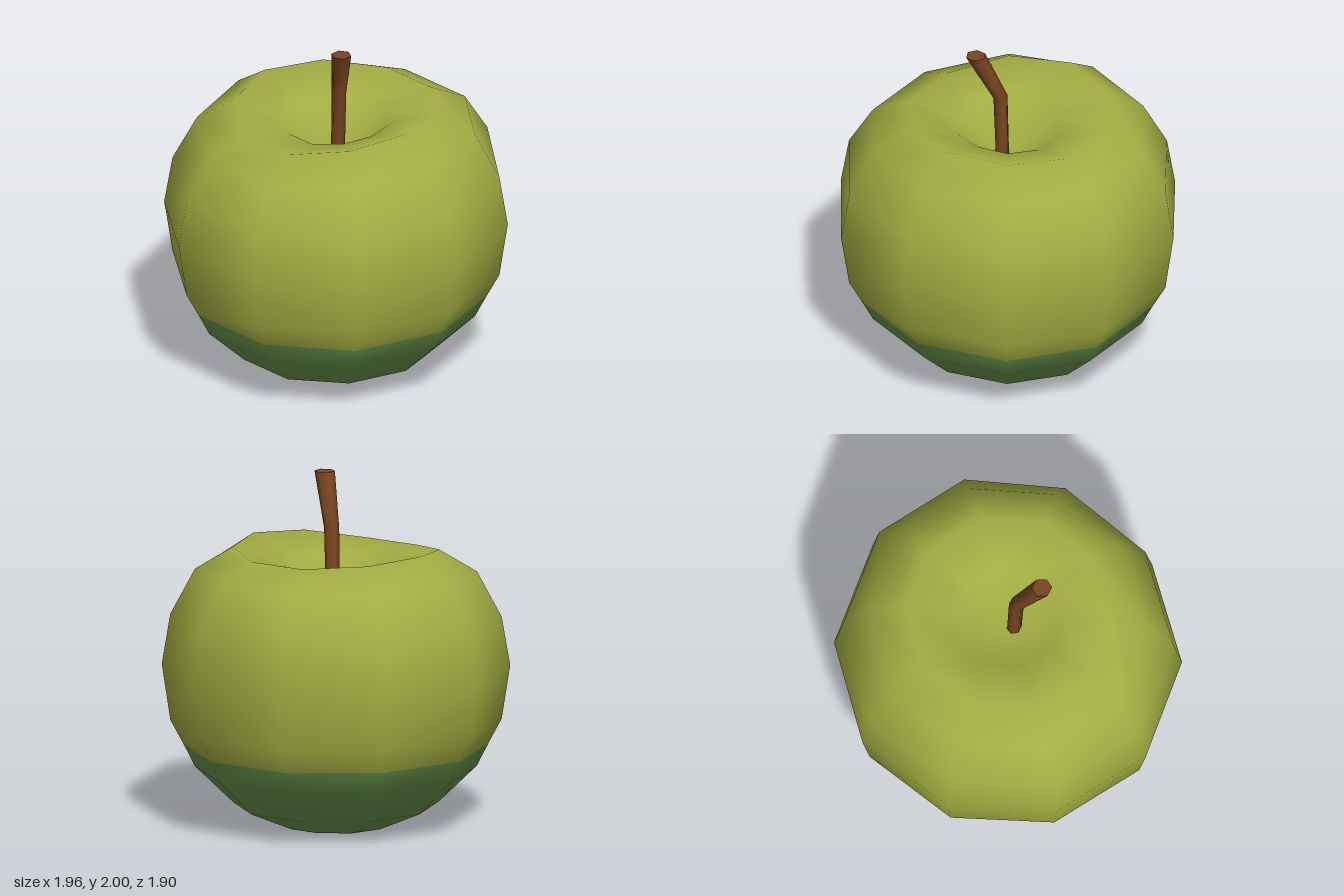
import * as THREE from 'three';
import { mergeVertices } from 'three/addons/utils/BufferGeometryUtils.js';

const SIDES = 10;

// rings from bottom to top: radius, height, height change at the front, at the back
const RINGS = [
  [0.3, 0, 0, 0],
  [0.576, 0.12, 0, 0],
  [0.793, 0.33, 0, 0],
  [0.858, 0.46, 0, 0],
  [0.932, 0.6, 0, 0],
  [0.98, 0.91, 0, 0.04],
  [0.932, 1.19, 0, 0.07],
  [0.793, 1.47, -0.05, 0.01],
  [0.58, 1.61, -0.085, -0.03],
  [0.3, 1.5, -0.02, -0.01],
];
const COLOUR_RING = 3; // below this ring the skin is darker
const BOTTOM_POLE = 0.05;
const TOP_POLE = 1.29;

function bodyGeometry() {
  const pos = [];
  const index = [];
  for (const [r, y, front, back] of RINGS) {
    for (let i = 0; i < SIDES; i++) {
      const a = (i / SIDES) * Math.PI * 2;
      const s = Math.sin(a);
      pos.push(r * Math.cos(a) + 0.015 * s * s, y + (s > 0 ? front : back) * s * s, r * s * 1.02);
    }
  }
  const low = RINGS.length * SIDES;
  const high = low + 1;
  pos.push(0, BOTTOM_POLE, 0, 0.02, TOP_POLE, 0);

  // underside, bands of the skin, then the hollow around the stem
  for (let i = 0; i < SIDES; i++) index.push(low, i, (i + 1) % SIDES);
  let split = 0;
  for (let j = 0; j < RINGS.length - 1; j++) {
    if (j === COLOUR_RING) split = index.length;
    for (let i = 0; i < SIDES; i++) {
      const k = (i + 1) % SIDES;
      const a = j * SIDES + i, b = j * SIDES + k;
      const c = a + SIDES, d = b + SIDES;
      index.push(a, c, b, b, c, d);
    }
  }
  const last = (RINGS.length - 1) * SIDES;
  for (let i = 0; i < SIDES; i++) index.push(high, last + ((i + 1) % SIDES), last + i);

  const g = new THREE.BufferGeometry();
  g.setAttribute('position', new THREE.Float32BufferAttribute(pos, 3));
  g.setIndex(index);
  g.addGroup(0, split, 0);
  g.addGroup(split, index.length - split, 1);
  g.computeVertexNormals();
  return g;
}

// bent stem: each row of a six-sided cylinder is moved to its own centre
function stemGeometry() {
  const rows = [ // x, y, z, radius
    [0.035, 1.24, 0.015, 0.04],
    [0.05, 1.7, 0.02, 0.043],
    [0.163, 2, 0.11, 0.058],
  ];
  let g = new THREE.CylinderGeometry(1, 1, 2, 6, 2);
  g.deleteAttribute('uv');
  g = mergeVertices(g);
  g.clearGroups();
  const p = g.attributes.position;
  for (let i = 0; i < p.count; i++) {
    const [x, y, z, r] = rows[Math.round(p.getY(i)) + 1];
    p.setXYZ(i, x + p.getX(i) * r, y, z + p.getZ(i) * r);
  }
  g.computeVertexNormals();
  return g;
}

export function createModel() {
  const skin = new THREE.MeshStandardMaterial({ color: 0xa3ae42 });
  skin.name = 'yellowGreenSkin';
  const lowerSkin = new THREE.MeshStandardMaterial({ color: 0x6b9a50 });
  lowerSkin.name = 'darkGreenSkin';
  const bark = new THREE.MeshStandardMaterial({ color: 0x7a4520 });
  bark.name = 'brownStem';

  const group = new THREE.Group();
  group.name = 'apple';

  const body = new THREE.Mesh(bodyGeometry(), [lowerSkin, skin]);
  body.name = 'fruitBody';
  const stem = new THREE.Mesh(stemGeometry(), bark);
  stem.name = 'stem';
  group.add(body, stem);
  return group;
}
